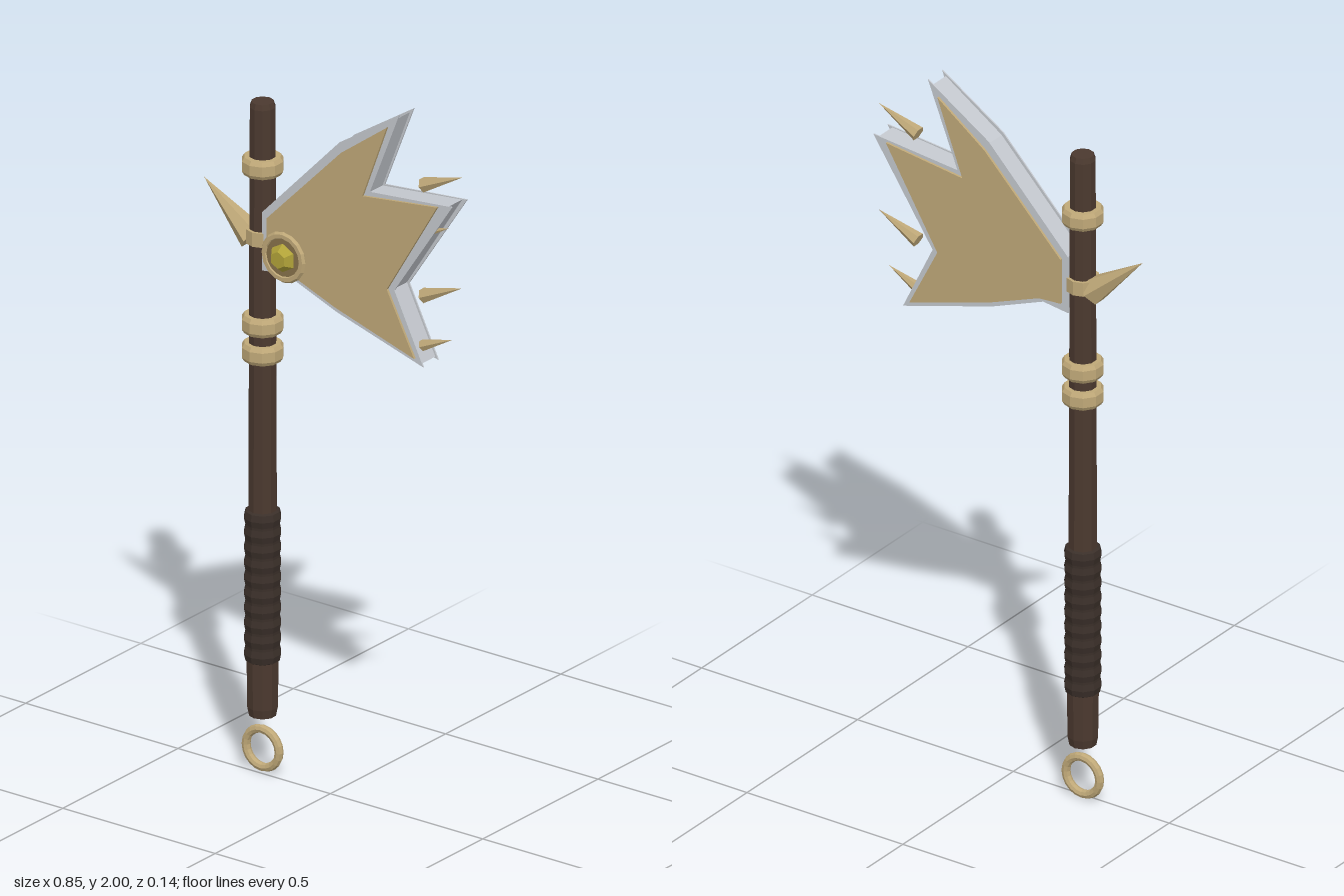
import * as THREE from 'three';

const mat = (color) => new THREE.MeshStandardMaterial({ color, flatShading: true, side: THREE.DoubleSide });
const wood = mat(0x4b392f), wrap = mat(0x3a2f29), gold = mat(0xbfa878), steel = mat(0xc4c8ce), brass = mat(0xb0a238), dark = mat(0x86704a);

const AX = -0.233, AZ = -0.014; // shaft axis

// Outer steel outline and the gold panel inside it, point for point
const EDGE = [[-0.21, 1.61], [0.045, 1.875], [0.24, 2.0], [0.145, 1.76], [0.415, 1.785],
  [0.225, 1.5], [0.32, 1.305], [0.035, 1.39], [-0.13, 1.455], [-0.21, 1.445]];
const PANEL = [[-0.19, 1.6], [0.055, 1.85], [0.205, 1.96], [0.125, 1.745], [0.37, 1.775],
  [0.205, 1.5], [0.295, 1.325], [0.035, 1.405], [-0.12, 1.465], [-0.19, 1.47]];

export function createModel() {
  const model = new THREE.Group();

  const add = (name, geometry, material, x = 0, y = 0, z = 0) => {
    const mesh = new THREE.Mesh(geometry, material);
    mesh.name = name;
    mesh.position.set(x, y, z);
    model.add(mesh);
    return mesh;
  };

  const lathe = (name, profile, material, sides = 10, y = 0) =>
    add(name, new THREE.LatheGeometry(profile.map(([r, h]) => new THREE.Vector2(r, h)), sides), material, AX, y, AZ);

  const slab = (name, outline, z0, z1, material) => {
    const shape = new THREE.Shape(outline.map(([x, y]) => new THREE.Vector2(x, y)));
    return add(name, new THREE.ExtrudeGeometry(shape, { depth: z1 - z0, bevelEnabled: false }), material, 0, 0, AZ + z0);
  };

  const spike = (name, base, tip, radius, sides) => {
    const a = new THREE.Vector3(...base, AZ), b = new THREE.Vector3(...tip, AZ);
    const dir = b.clone().sub(a);
    const mesh = add(name, new THREE.ConeGeometry(radius, dir.length(), sides), gold);
    mesh.position.copy(a).add(b).multiplyScalar(0.5);
    mesh.quaternion.setFromUnitVectors(new THREE.Vector3(0, 1, 0), dir.normalize());
    return mesh;
  };

  // Shaft
  lathe('shaft', [[0, 0.165], [0.037, 0.165], [0.042, 0.19], [0.044, 0.33], [0.039, 0.75],
    [0.036, 1.7], [0.035, 1.895], [0.03, 1.91], [0, 1.91]], wood);

  // Ridged grip
  const ridges = 10, low = 0.32, high = 0.75, step = (high - low) / ridges;
  const grip = [[0.042, low]];
  for (let i = 0; i < ridges; i++) {
    const y = low + i * step;
    grip.push([0.047, y + step * 0.08], [0.051, y + step * 0.5], [0.047, y + step * 0.92]);
  }
  grip.push([0.038, high]);
  lathe('grip', grip, wrap);

  // Collars around the shaft
  const collar = [[0.034, -0.025], [0.05, -0.025], [0.057, -0.014], [0.057, 0.014], [0.05, 0.025], [0.034, 0.025]];
  for (const y of [1.2, 1.28, 1.73]) lathe('collar', collar, gold, 10, y);
  lathe('spikeCollar', [[0.034, -0.02], [0.045, -0.02], [0.045, 0.02], [0.034, 0.02]], gold, 10, 1.53);

  // Blade: recessed core between two steel sheets, gold panels outside
  const core = EDGE.map(([x, y], i) => [x + (PANEL[i][0] - x) * 0.35, y + (PANEL[i][1] - y) * 0.35]);
  slab('bladeCore', core, -0.03, 0.03, steel);
  slab('bladeSheetFront', EDGE, 0.03, 0.034, steel);
  slab('bladeSheetBack', EDGE, -0.034, -0.03, steel);
  slab('bladePanelFront', PANEL, 0.034, 0.041, gold);
  slab('bladePanelBack', PANEL, -0.041, -0.034, gold);

  // Spikes: a large one behind the shaft, a row along the cutting edge
  spike('rearSpike', [-0.265, 1.515], [-0.425, 1.645], 0.04, 6);
  for (const [x, y] of [[0.422, 1.86], [0.38, 1.705], [0.422, 1.545], [0.39, 1.39]])
    spike('edgeSpike', [x - 0.127, y - 0.053], [x, y], 0.021, 6);

  // Boss on the front of the blade
  const bx = -0.125, by = 1.51;
  add('bossPlate', new THREE.CylinderGeometry(0.062, 0.062, 0.014, 16), dark, bx, by, 0.035).rotation.x = Math.PI / 2;
  const rim = add('bossRim', new THREE.TorusGeometry(0.061, 0.011, 6, 16), gold, bx, by, 0.038);
  rim.scale.z = 0.75;
  add('bossStud', new THREE.CylinderGeometry(0.024, 0.042, 0.024, 6), brass, bx, by, 0.052).rotation.x = Math.PI / 2;

  // Ring hanging below the shaft
  add('pommelRing', new THREE.TorusGeometry(0.054, 0.012, 8, 20), gold, AX, 0.069, AZ);

  return model;
}
